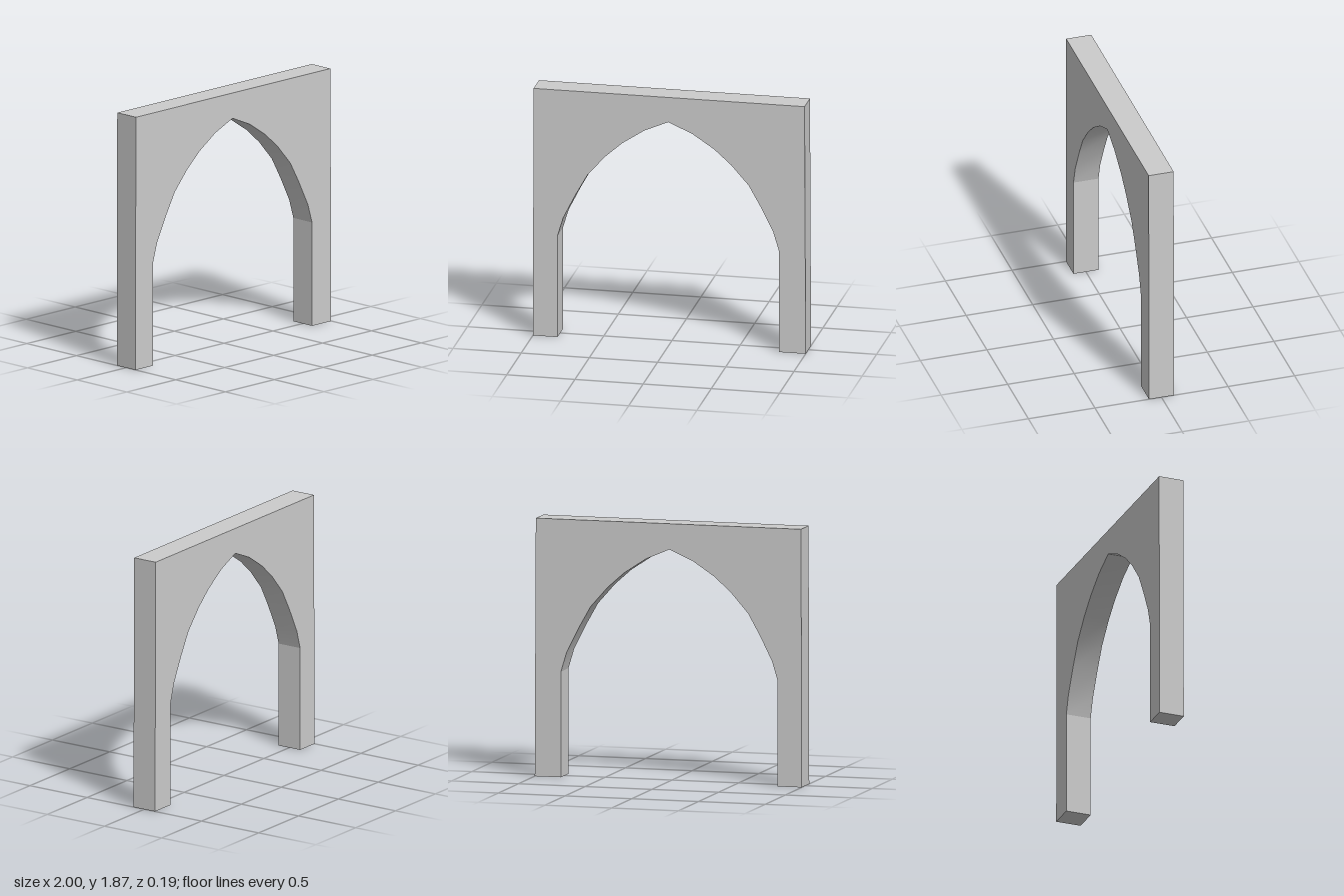
import * as THREE from 'three';
import { toCreasedNormals } from 'three/addons/utils/BufferGeometryUtils.js';

export function createModel() {
  const group = new THREE.Group();
  group.name = 'pointedArch';

  const depth = 0.188, height = 1.87;
  const centre = -0.008; // the opening sits slightly off the middle

  // Half of the opening, from the springing up to the apex: distance from centre, height
  const curve = [
    [0.812, 0.765], [0.77, 0.905], [0.68, 1.085], [0.59, 1.245],
    [0.462, 1.39], [0.338, 1.5], [0.176, 1.607],
  ];
  const opening = [
    [0.812, 0], ...curve, [0, 1.683],
    ...curve.map(([x, y]) => [-x, y]).reverse(), [-0.812, 0],
  ].map(([x, y]) => [x + centre, y]);

  // Wall outline, with sides leaning in a touch, and the opening cut from its foot
  const outline = [[1, 0], [0.992, height], [-0.995, height], [-1, 0], ...opening.reverse()];
  const shape = new THREE.Shape(outline.map(([x, y]) => new THREE.Vector2(x, y)));

  const geometry = new THREE.ExtrudeGeometry(shape, { depth, bevelEnabled: false });
  geometry.translate(0, 0, -depth / 2);

  // Smooth along the curve, sharp at the springing, apex and corners
  const wall = new THREE.Mesh(
    toCreasedNormals(geometry, 0.25),
    new THREE.MeshStandardMaterial({ color: 0xcccccc }),
  );
  wall.name = 'archWall';
  group.add(wall);
  return group;
}
